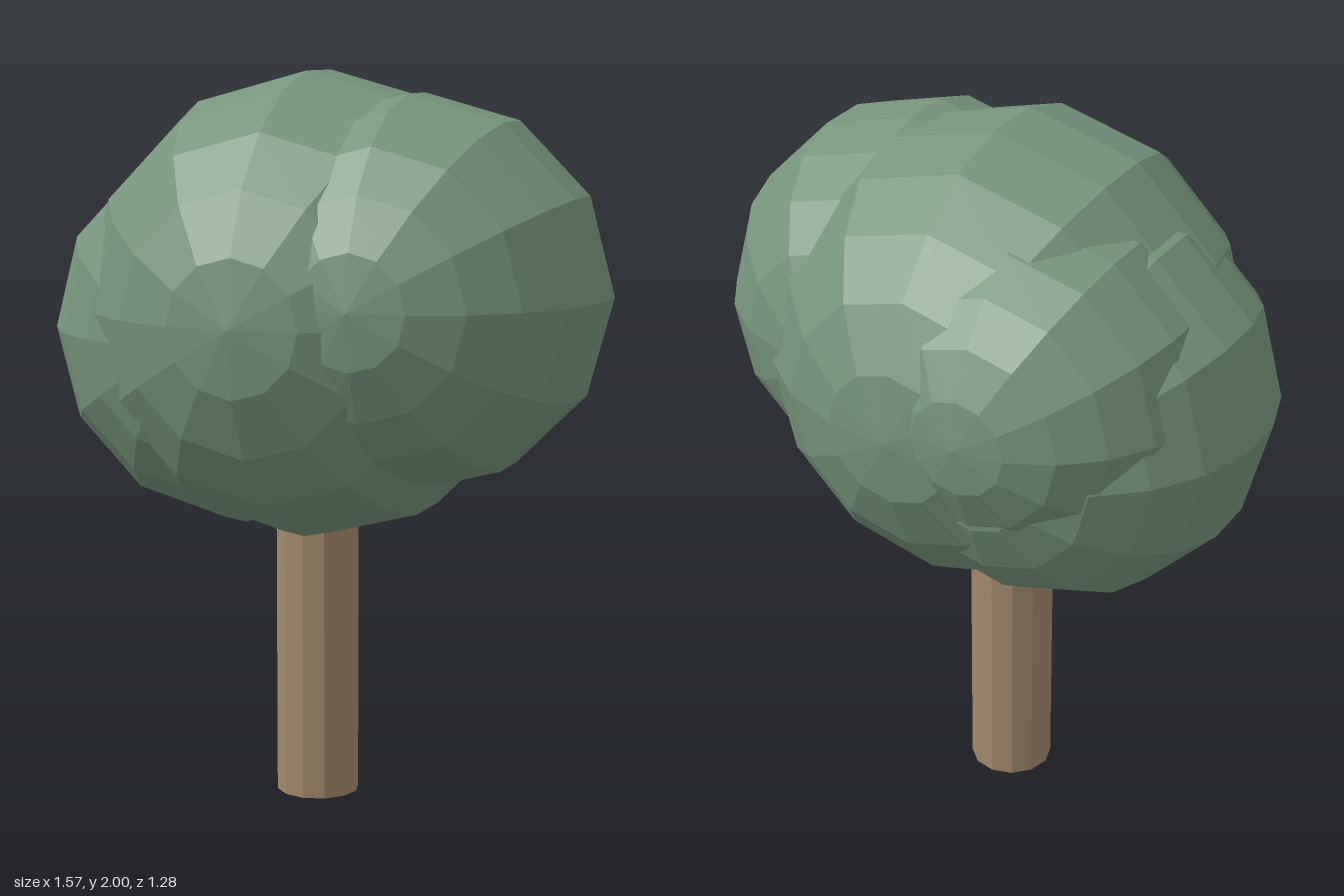
import * as THREE from 'three';

export function createModel() {
  const tree = new THREE.Group();
  tree.name = 'tree';

  const leafGreen = new THREE.MeshStandardMaterial({ color: 0x76957c, flatShading: true });
  leafGreen.name = 'leaf green';
  const barkBrown = new THREE.MeshStandardMaterial({ color: 0xa2886a, flatShading: true });
  barkBrown.name = 'bark brown';

  // Straight twelve-sided trunk, ending inside the foliage
  const trunk = new THREE.Mesh(new THREE.CylinderGeometry(0.115, 0.115, 1.1, 12), barkBrown);
  trunk.name = 'trunk';
  trunk.position.set(-0.045, 0.55, 0);
  tree.add(trunk);

  // Overlapping foliage balls with their poles along z: name, radius, centre
  const balls = [
    ['mainFoliage', 0.638, -0.04, 1.37, 0],
    ['leftFoliage', 0.53, 0.26, 1.42, 0.07],
    ['rightFoliage', 0.55, -0.245, 1.3, -0.04],
    ['backFoliage', 0.46, -0.24, 1.41, -0.185],
  ];
  for (const [name, radius, x, y, z] of balls) {
    const geometry = new THREE.SphereGeometry(radius, 12, 11).rotateX(Math.PI / 2);
    const ball = new THREE.Mesh(geometry, leafGreen);
    ball.name = name;
    ball.position.set(x, y, z);
    tree.add(ball);
  }

  return tree;
}
